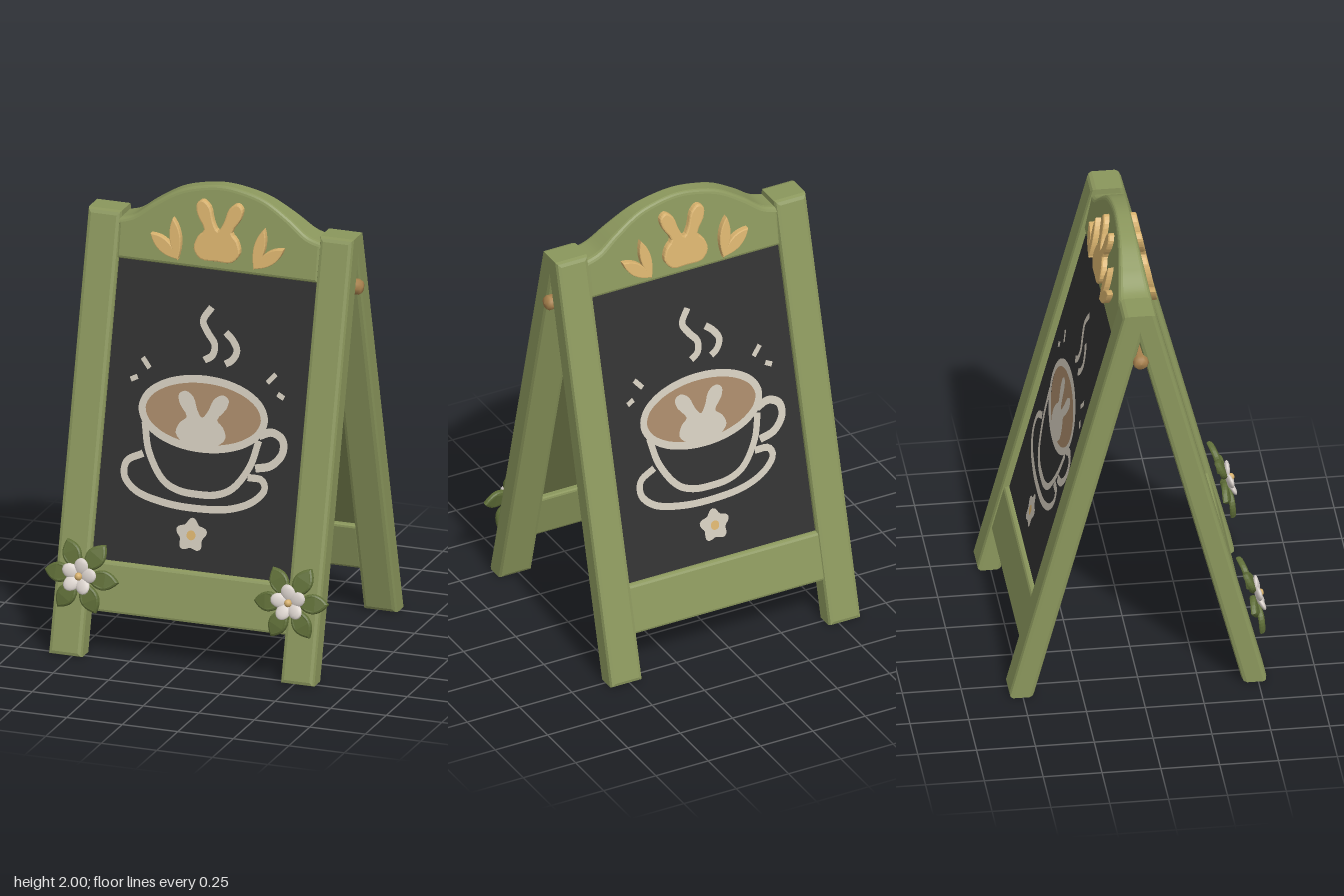
import * as THREE from 'three';

const mat = (name, color, side = THREE.FrontSide) => {
  const m = new THREE.MeshStandardMaterial({ color, side });
  m.name = name;
  return m;
};

export function createModel() {
  const green = mat('sageGreen', 0x8a965c);
  const backing = mat('darkOlive', 0x636b40);
  const slate = mat('slate', 0x2f2f2f);
  const chalk = mat('chalk', 0xcdc6b8, THREE.DoubleSide);
  const coffee = mat('coffee', 0xa38566, THREE.DoubleSide);
  const gold = mat('goldenWood', 0xd6b06c);
  const leafGreen = mat('leafGreen', 0x5f6e38);
  const petalWhite = mat('petalWhite', 0xdcd4ce);
  const pinBrown = mat('pinBrown', 0xa9824e);

  const root = new THREE.Group();
  root.name = 'sandwichBoard';
  const sign = new THREE.Group();
  sign.name = 'easel';
  sign.position.x = -0.007;
  root.add(sign);

  const add = (parent, name, geo, material) => {
    const m = new THREE.Mesh(geo, material);
    m.name = name;
    parent.add(m);
    return m;
  };
  const V = (x, y) => new THREE.Vector2(x, y);

  // Leans a flat upright geometry: z = z + z0 - slope * y
  const lean = (geo, z0, slope) => geo.applyMatrix4(
    new THREE.Matrix4().set(1, 0, 0, 0, 0, 1, 0, 0, 0, -slope, 1, z0, 0, 0, 0, 1));

  // Extrusion from z0 to z1 with a chamfer kept inside the outline
  const slab = (shape, z0, z1, b = 0.015) => new THREE.ExtrudeGeometry(shape, {
    depth: z1 - z0 - 2 * b, bevelEnabled: true, bevelSize: b, bevelOffset: -b,
    bevelThickness: b, bevelSegments: 2, curveSegments: 10,
  }).translate(0, 0, z0 + b);

  const rect = (x0, y0, x1, y1) => new THREE.Shape([V(x0, y0), V(x1, y0), V(x1, y1), V(x0, y1)]);

  const ellipse = (x, y, rx, ry) => new THREE.Shape().absellipse(x, y, rx, ry, 0, Math.PI * 2);

  // Flat chalk line along a smooth curve
  const stroke = (pts, width, closed = false) => {
    const curve = new THREE.CatmullRomCurve3(pts.map(p => new THREE.Vector3(p[0], p[1], 0)), closed);
    const n = pts.length * 6, pos = [], idx = [];
    for (let i = 0; i <= n; i++) {
      const p = curve.getPointAt(i / n), t = curve.getTangentAt(i / n), w = width / 2;
      pos.push(p.x - t.y * w, p.y + t.x * w, 0, p.x + t.y * w, p.y - t.x * w, 0);
      if (i < n) idx.push(2 * i + 1, 2 * i + 3, 2 * i, 2 * i, 2 * i + 3, 2 * i + 2);
    }
    const g = new THREE.BufferGeometry();
    g.setAttribute('position', new THREE.Float32BufferAttribute(pos, 3));
    g.setIndex(idx);
    g.computeVertexNormals();
    return g;
  };

  // Rabbit head outline, mirrored about its centre
  const rabbit = (cx, cy, sx, sy) => {
    const half = [[0, -0.125], [0.07, -0.122], [0.102, -0.08], [0.088, -0.03], [0.062, 0.002],
      [0.095, 0.06], [0.102, 0.105], [0.077, 0.125], [0.042, 0.1], [0.022, 0.04], [0, 0.005]];
    const all = [...half, ...half.slice(1, -1).reverse().map(([x, y]) => [-x, y])];
    const c = new THREE.CatmullRomCurve3(
      all.map(([x, y]) => new THREE.Vector3(cx + x * sx, cy + y * sy, 0)), true);
    return new THREE.Shape(c.getPoints(60).slice(0, -1).map(p => V(p.x, p.y)));
  };

  // Pointed leaf from base to tip
  const leaf = (x0, y0, x1, y1, w) => {
    const dx = x1 - x0, dy = y1 - y0, l = Math.hypot(dx, dy);
    const nx = -dy / l * w, ny = dx / l * w, mx = x0 + dx * 0.55, my = y0 + dy * 0.55;
    const s = new THREE.Shape();
    s.moveTo(x0, y0);
    s.quadraticCurveTo(mx - nx, my - ny, x1, y1);
    s.quadraticCurveTo(mx + nx, my + ny, x0, y0);
    return s;
  };

  // Five-lobed blossom outline
  const blossom = (cx, cy, r) => new THREE.Shape(Array.from({ length: 40 }, (_, i) => {
    const a = i / 40 * Math.PI * 2, q = r * (1 + 0.16 * Math.cos(5 * a));
    return V(cx + q * Math.sin(-a), cy + q * Math.cos(a));
  }));

  // Chalk drawing: [name, points, width, closed]
  const ring = Array.from({ length: 16 }, (_, i) => {
    const a = i / 16 * Math.PI * 2;
    return [-0.008 + 0.275 * Math.cos(a), 1.05 + 0.142 * Math.sin(a)];
  });
  const lines = [
    ['cupRim', ring, 0.032, true],
    ['cupBowl', [[-0.265, 0.99], [-0.235, 0.87], [-0.16, 0.76], [-0.09, 0.727], [0, 0.72],
      [0.08, 0.727], [0.15, 0.76], [0.22, 0.86], [0.25, 0.97]], 0.03],
    ['cupHandle', [[0.25, 0.99], [0.305, 1.01], [0.355, 0.985], [0.36, 0.93], [0.315, 0.875], [0.245, 0.855]], 0.034],
    ['saucer', [[-0.26, 0.86], [-0.33, 0.82], [-0.335, 0.76], [-0.28, 0.705], [-0.15, 0.67], [0, 0.662],
      [0.15, 0.677], [0.25, 0.72], [0.295, 0.775], [0.28, 0.81], [0.215, 0.815]], 0.03],
    ['steamLeft', [[-0.012, 1.49], [-0.045, 1.43], [-0.02, 1.385], [0.015, 1.34], [0.01, 1.295], [-0.025, 1.27]], 0.03],
    ['steamRight', [[0.06, 1.395], [0.095, 1.365], [0.117, 1.325], [0.1, 1.285], [0.07, 1.265]], 0.03],
  ];
  for (const s of [-1, 1]) {
    lines.push(['sparkHigh', [[s * 0.3, 1.25], [s * 0.265, 1.21]], 0.022]);
    lines.push(['sparkLow', [[s * 0.345, 1.155], [s * 0.315, 1.17]], 0.022]);
  }

  // One leaning side of the sign, facing +z
  const makePanel = (name, z0, slope) => {
    const g = new THREE.Group();
    g.name = name;
    const put = (n, geo, m) => add(g, n, lean(geo, z0, slope), m);
    for (const s of [-1, 1]) {
      put(s < 0 ? 'rightLeg' : 'leftLeg',
        slab(rect(s * 0.522 - 0.075, 0, s * 0.522 + 0.075, 1.84), -0.053, 0.053, 0.018), green);
    }
    put('bottomRail', slab(rect(-0.46, 0.195, 0.46, 0.405), -0.043, 0.043, 0.012), green);
    put('boardBack', new THREE.BoxGeometry(0.92, 1.3, 0.02).translate(0, 1.01, 0), backing);
    put('chalkboard', new THREE.BoxGeometry(0.92, 1.3, 0.012).translate(0, 1.01, 0.016), slate);

    // Drawing
    const flat = (n, shape, z, m) => put(n, new THREE.ShapeGeometry(shape, 24).translate(0, 0, z), m);
    flat('coffee', ellipse(-0.008, 1.05, 0.268, 0.135), 0.025, coffee);
    flat('foamRabbit', rabbit(-0.012, 1.03, 1.1, 0.85), 0.028, chalk);
    flat('chalkBlossom', blossom(-0.014, 0.55, 0.062), 0.026, chalk);
    flat('chalkBlossomCentre', ellipse(-0.014, 0.55, 0.02, 0.02), 0.029, gold);
    for (const [n, pts, w, closed] of lines) {
      put(n, stroke(pts, w, closed).translate(0, 0, 0.028), chalk);
    }

    // Carved ornaments on the header
    const carve = (n, shape, b) => add(g, n, lean(slab(shape, -0.01, 0.025, b), 0.433, 0.2), gold);
    carve('carvedRabbit', rabbit(0, 1.815, 1.02, 1), 0.007);
    for (const s of [-1, 1]) {
      carve('sprigUpperLeaf', leaf(s * 0.172, 1.675, s * 0.205, 1.85, 0.05), 0.004);
      carve('sprigSideLeaf', leaf(s * 0.17, 1.68, s * 0.3, 1.775, 0.055), 0.004);
    }
    sign.add(g);
    return g;
  };
  makePanel('frontPanel', 0.487, 0.258);
  makePanel('backPanel', 0.507, 0.2665).rotation.y = Math.PI;

  // Arched header, tapering in thickness towards the top
  const arc = [[0.46, 1.812], [0.39, 1.834], [0.307, 1.894], [0.2, 1.958], [0.1, 1.988]];
  const arch = new THREE.Shape([V(-0.46, 1.64), V(0.46, 1.64)]);
  arch.lineTo(...arc[0]);
  arch.splineThru([...arc.slice(1), [0, 2], ...arc.map(([x, y]) => [-x, y]).reverse()].map(p => V(...p)));
  const header = new THREE.ExtrudeGeometry(arch, {
    depth: 1.4, bevelEnabled: true, bevelSize: 0.018, bevelOffset: -0.018,
    bevelThickness: 0.3, bevelSegments: 3, curveSegments: 28,
  }).translate(0, 0, -0.7);
  const hp = header.attributes.position;
  for (let i = 0; i < hp.count; i++) {
    hp.setZ(i, hp.getZ(i) * (0.105 - 0.2 * (hp.getY(i) - 1.64)));
  }
  header.computeVertexNormals();
  add(sign, 'archedHeader', header, green);

  // Hinge pins
  for (const s of [-1, 1]) {
    const pin = add(sign, 'hingePin', new THREE.LatheGeometry(
      [V(0, -0.1), V(0.03, -0.1), V(0.034, 0.07), V(0.025, 0.084), V(0, 0.09)], 10), pinBrown);
    pin.position.set(s * 0.532, 1.615, 0);
    pin.rotation.z = -s * Math.PI / 2;
  }

  // Flower clusters at the foot of the front panel
  for (const s of [-1, 1]) {
    const f = new THREE.Group();
    f.name = s < 0 ? 'rightFlower' : 'leftFlower';
    f.position.set(s * 0.472, 0.345, 0.47);
    f.rotation.x = -0.252;
    for (let i = 0; i < 6; i++) {
      const geo = slab(leaf(0.025, 0, 0.17, 0, 0.085), -0.012, 0.014, 0.009);
      // Curl the leaves up a little at mid length
      const p = geo.attributes.position;
      for (let k = 0; k < p.count; k++) {
        p.setZ(k, p.getZ(k) + 0.02 * Math.sin(p.getX(k) * 18) - 0.1 * Math.abs(p.getY(k)));
      }
      geo.computeVertexNormals();
      const l = add(f, 'leaf', geo, leafGreen);
      l.rotation.z = i * Math.PI / 3 + s * 0.06;
      l.position.z = i % 2 ? 0.004 : 0.014;
    }
    for (let i = 0; i < 5; i++) {
      const a = Math.PI / 2 + i * Math.PI * 0.4 + s * 0.15;
      const p = add(f, 'petal', new THREE.SphereGeometry(1, 12, 8), petalWhite);
      p.scale.set(0.04, 0.032, 0.013);
      p.position.set(0.042 * Math.cos(a), 0.042 * Math.sin(a), 0.048);
      p.rotation.set(0, -0.25, a, 'ZYX');
    }
    const c = add(f, 'flowerCentre', new THREE.SphereGeometry(0.017, 10, 8), gold);
    c.position.z = 0.055;
    root.add(f);
  }
  return root;
}
